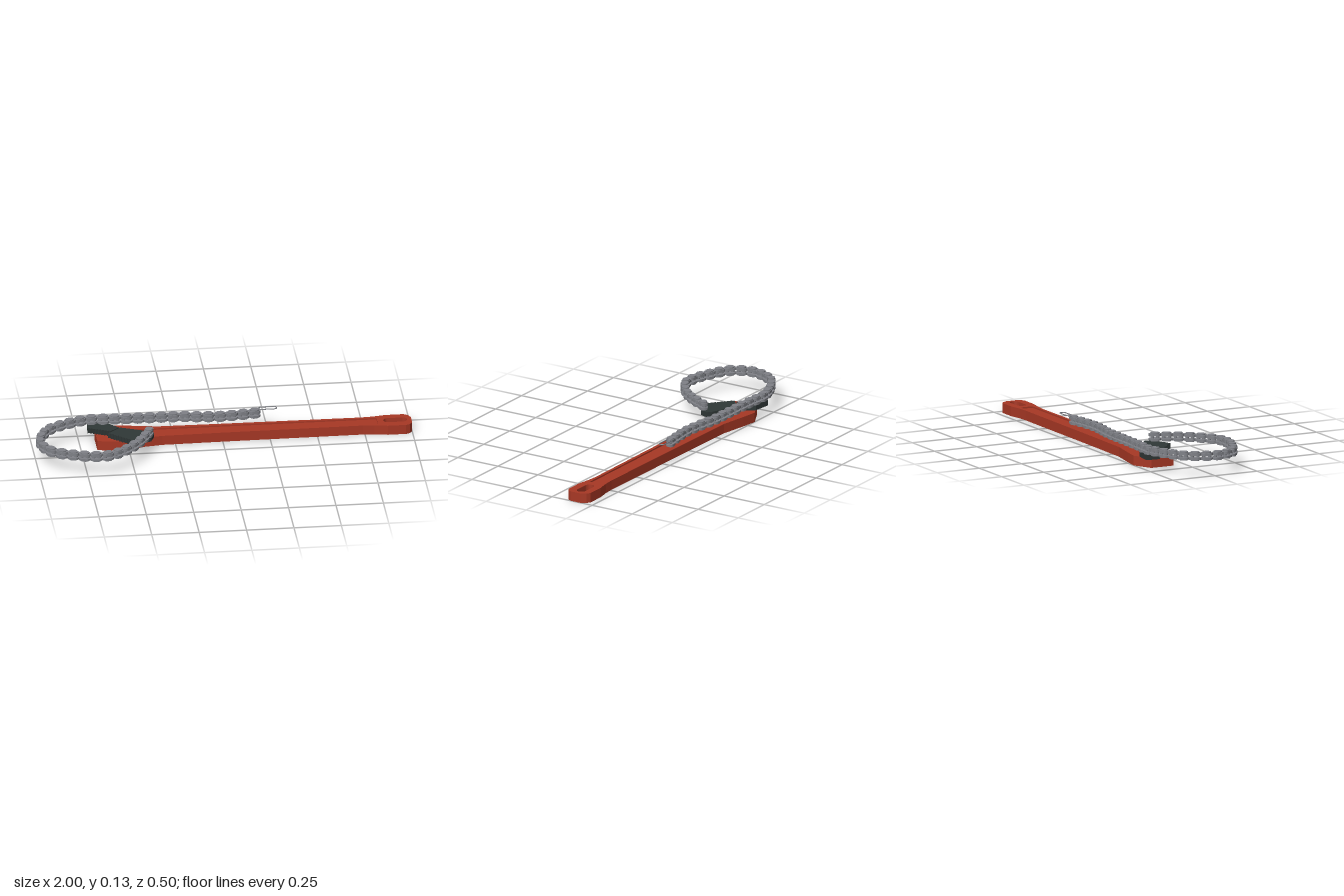
import * as THREE from 'three';

const red = new THREE.MeshStandardMaterial({ color: 0xa83825 });
red.name = 'red paint';
const dark = new THREE.MeshStandardMaterial({ color: 0x303837 });
dark.name = 'dark steel';
const grey = new THREE.MeshStandardMaterial({ color: 0x7f8187 });
grey.name = 'grey steel';

// Plan points are [x, z]; plates are raised from y0 to y1.
const toVec = ([x, z]) => new THREE.Vector2(x, -z);

function plate(shape, y0, y1, material, name) {
  const geo = new THREE.ExtrudeGeometry(shape, { depth: y1 - y0, bevelEnabled: false, curveSegments: 8 });
  geo.rotateX(-Math.PI / 2);
  geo.translate(0, y0, 0);
  const mesh = new THREE.Mesh(geo, material);
  mesh.name = name;
  return mesh;
}

// Rounded slot outline, long along x
function slot(Type, cx, cz, length, width) {
  const r = width / 2, h = length / 2 - r, s = new Type();
  s.moveTo(cx - h, -cz - r);
  s.lineTo(cx + h, -cz - r);
  s.absarc(cx + h, -cz, r, -Math.PI / 2, Math.PI / 2, false);
  s.lineTo(cx - h, -cz + r);
  s.absarc(cx - h, -cz, r, Math.PI / 2, Math.PI * 1.5, false);
  return s;
}

// Zigzag points between two corners, for the gripping edge of a jaw
function teeth(a, b, count, depth) {
  const dx = b[0] - a[0], dz = b[1] - a[1], len = Math.hypot(dx, dz), pts = [];
  for (let i = 0; i <= count * 2; i++) {
    const t = i / (count * 2), d = i % 2 ? depth : 0;
    pts.push([a[0] + dx * t + (dz / len) * d, a[1] + dz * t - (dx / len) * d]);
  }
  return pts;
}

function makeHandle() {
  const group = new THREE.Group();
  group.name = 'handle';
  const outline = [
    [-0.665, -0.2], [-0.665, -0.068], [-0.59, -0.055], [-0.5, -0.042], [-0.42, -0.08], [-0.32, -0.094],
    [0, -0.098], [0.74, -0.102], [0.8, -0.096], [0.87, -0.084], [0.965, -0.084], [0.985, -0.092], [1, -0.115],
    [1, -0.18], [0.985, -0.205], [0.965, -0.218], [0.87, -0.218], [0.8, -0.206], [0.74, -0.202],
    [0, -0.208], [-0.33, -0.213], [-0.475, -0.238], [-0.565, -0.251],
  ].map(toVec);
  const lower = new THREE.Shape(outline);
  lower.holes.push(slot(THREE.Path, 0.915, -0.153, 0.125, 0.05));
  group.add(plate(lower, 0, 0.044, red, 'handleBody'));
  // Upper layer leaves a shallow pocket along the shank
  const upper = new THREE.Shape(outline);
  upper.holes.push(slot(THREE.Path, 0.915, -0.153, 0.125, 0.05));
  upper.holes.push(new THREE.Path([[-0.44, -0.19], [-0.44, -0.115], [0.82, -0.118], [0.82, -0.187]].map(toVec)));
  group.add(plate(upper, 0.044, 0.052, red, 'handleRim'));
  return group;
}

function makeJaws() {
  const group = new THREE.Group();
  group.name = 'jaws';
  const rear = [
    ...teeth([-0.705, -0.17], [-0.592, -0.12], 8, 0.008),
    [-0.54, -0.165], [-0.575, -0.2], [-0.6, -0.235], [-0.7, -0.247],
  ];
  const front = [
    ...teeth([-0.605, -0.098], [-0.485, 0.008], 9, 0.008),
    [-0.385, -0.032], [-0.366, -0.08], [-0.39, -0.1], [-0.535, -0.163],
  ];
  group.add(plate(new THREE.Shape(rear.map(toVec)), 0.052, 0.08, dark, 'rearJaw'));
  group.add(plate(new THREE.Shape(front.map(toVec)), 0.052, 0.08, dark, 'frontJaw'));
  return group;
}

function makeChain() {
  const group = new THREE.Group();
  group.name = 'chain';
  const path = new THREE.CatmullRomCurve3([
    [-0.385, -0.065], [-0.41, -0.01], [-0.455, 0.07], [-0.53, 0.157], [-0.63, 0.222], [-0.71, 0.228], [-0.8, 0.205],
    [-0.93, 0.14], [-0.975, 0.05], [-0.972, -0.015], [-0.92, -0.12], [-0.82, -0.185], [-0.7, -0.225],
    [-0.56, -0.22], [-0.4, -0.216], [-0.21, -0.211], [-0.1, -0.196], [0, -0.19], [0.11, -0.2], [0.21, -0.214],
  ].map(([x, z]) => new THREE.Vector3(x, 0, z)), false, 'centripetal');
  path.arcLengthDivisions = 600;

  // One link: outer plates, inner plates, two rollers
  const count = Math.round(path.getLength() / 0.061);
  const step = path.getLength() / count;
  const outer = slot(THREE.Shape, 0, 0, 0.046, 0.038);
  const inner = slot(THREE.Shape, 0, 0, step + 0.003, 0.042);
  const link = new THREE.Group();
  link.add(plate(outer, 0.08, 0.086, grey, 'lowerOuterPlate'));
  link.add(plate(outer, 0.12, 0.127, grey, 'upperOuterPlate'));
  link.add(plate(inner, 0.085, 0.096, grey, 'lowerInnerPlate'));
  link.add(plate(inner, 0.107, 0.121, grey, 'upperInnerPlate'));
  const rollerGeo = new THREE.CylinderGeometry(0.009, 0.009, 0.03, 10);
  for (const x of [-0.015, 0.015]) {
    const roller = new THREE.Mesh(rollerGeo, grey);
    roller.name = 'roller';
    roller.position.set(x, 0.102, 0);
    link.add(roller);
  }
  for (let i = 0; i < count; i++) {
    const u = (i + 0.5) / count;
    const p = path.getPointAt(u), t = path.getTangentAt(u);
    const copy = link.clone();
    copy.name = 'chainLink';
    copy.position.copy(p);
    copy.rotation.y = Math.atan2(-t.z, t.x);
    group.add(copy);
  }

  // Wire ring on the free end
  const ring = slot(THREE.Shape, 0.25, -0.222, 0.094, 0.03).getPoints(8);
  ring.pop();
  const curve = new THREE.CatmullRomCurve3(ring.map((p) => new THREE.Vector3(p.x, 0.124, -p.y)), true);
  const wire = new THREE.Mesh(new THREE.TubeGeometry(curve, 60, 0.003, 6, true), grey);
  wire.name = 'endRing';
  group.add(wire);

  // Pin holding the fixed end to the front jaw
  const pin = new THREE.Mesh(new THREE.CylinderGeometry(0.01, 0.01, 0.05, 12), grey);
  pin.name = 'anchorPin';
  pin.position.set(-0.393, 0.1, -0.05);
  group.add(pin);
  return group;
}

export function createModel() {
  const model = new THREE.Group();
  model.name = 'chainWrench';
  model.add(makeHandle(), makeJaws(), makeChain());
  return model;
}
